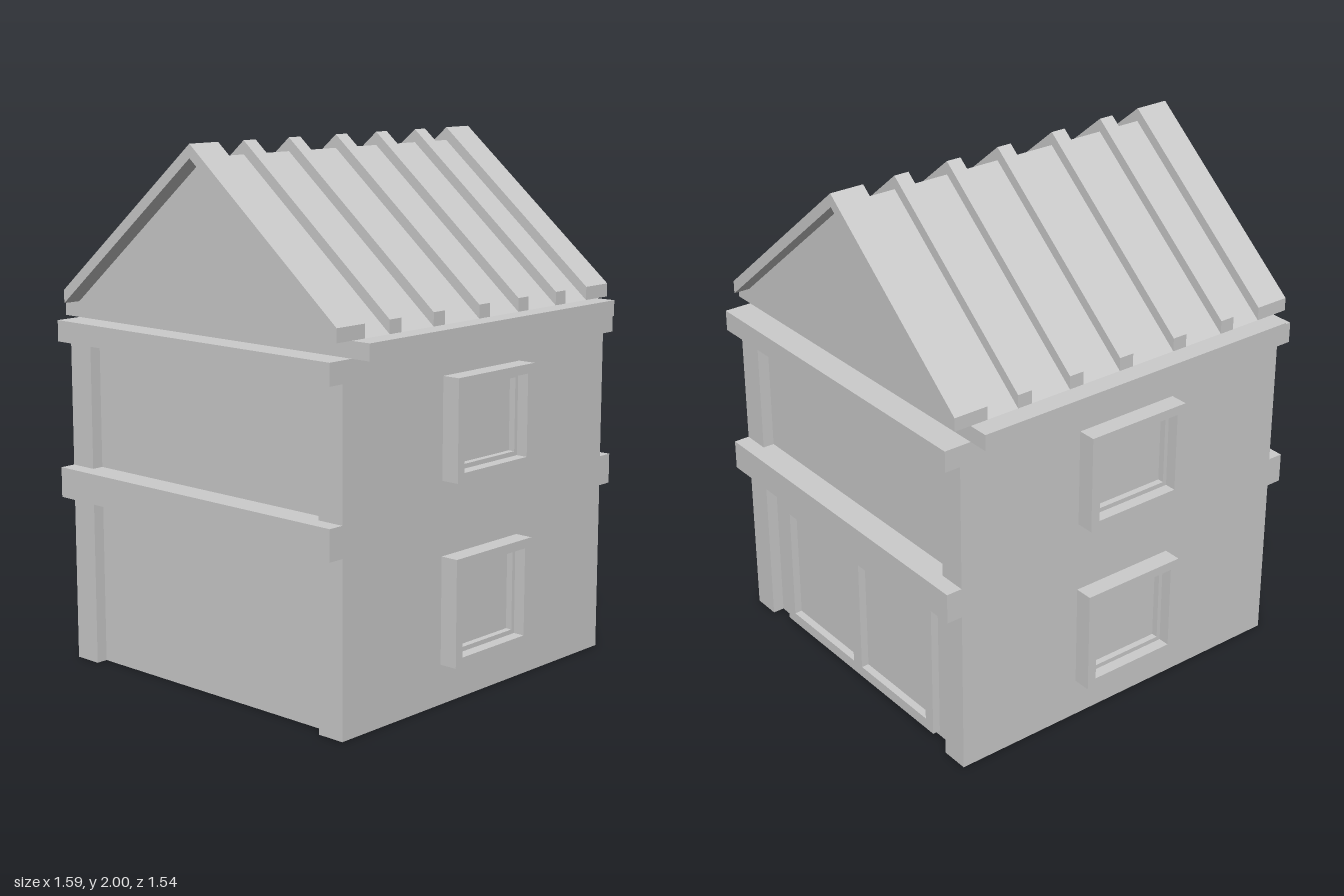
import * as THREE from 'three';

const material = new THREE.MeshStandardMaterial({ color: 0xcccccc, flatShading: true });

function add(parent, name, geometry) {
  const mesh = new THREE.Mesh(geometry, material);
  mesh.name = name;
  parent.add(mesh);
  return mesh;
}

// Box given by its minimum and maximum on each axis
function box(parent, name, x0, x1, y0, y1, z0, z1) {
  const mesh = add(parent, name, new THREE.BoxGeometry(x1 - x0, y1 - y0, z1 - z0));
  mesh.position.set((x0 + x1) / 2, (y0 + y1) / 2, (z0 + z1) / 2);
  return mesh;
}

const rect = (C, x0, x1, y0, y1) => new C([[x0, y0], [x1, y0], [x1, y1], [x0, y1]]
  .map(([x, y]) => new THREE.Vector2(x, y)));

// Flat frame with rectangular openings, facing +z
function frame(parent, name, outer, openings, z0, z1) {
  const shape = rect(THREE.Shape, ...outer);
  openings.forEach((o) => shape.holes.push(rect(THREE.Path, ...o)));
  const mesh = add(parent, name,
    new THREE.ExtrudeGeometry(shape, { depth: z1 - z0, bevelEnabled: false }));
  mesh.position.z = z0;
  return mesh;
}

// Outline in (z, y) extruded along x from x0 to x1
function roofPart(parent, name, points, x0, x1) {
  const shape = new THREE.Shape(points.map(([z, y]) => new THREE.Vector2(z, y)));
  const geometry = new THREE.ExtrudeGeometry(shape, { depth: x1 - x0, bevelEnabled: false });
  geometry.rotateY(Math.PI / 2).translate(x0, 0, 0);
  return add(parent, name, geometry);
}

export function createModel() {
  const house = new THREE.Group();
  house.name = 'house';

  // Main block, with corner posts standing proud of the side walls
  box(house, 'walls', -0.69, 0.69, 0, 1.32, -0.69, 0.69);
  for (const sx of [-1, 1]) {
    for (const sz of [-1, 1]) {
      const post = box(house, 'cornerPost', 0.69, 0.735, 0, 1.24, 0.58, 0.69);
      post.position.x *= sx;
      post.position.z *= sz;
    }
    // Horizontal bands on the side walls
    for (const [y0, y1] of [[0.645, 0.76], [1.24, 1.32]]) {
      const band = box(house, 'sideBand', 0.69, 0.797, y0, y1, -0.69, 0.69);
      band.position.x *= sx;
    }
  }

  // Windows on the front and back
  for (const turn of [0, Math.PI]) {
    const wall = new THREE.Group();
    wall.name = turn ? 'backWindows' : 'frontWindows';
    wall.rotation.y = turn;
    for (const [y0, y1] of [[0.15, 0.55], [0.825, 1.2]]) {
      const opening = [-0.178, 0.178, y0 + 0.033, y1 - 0.035];
      const pane = [-0.162, 0.162, y0 + 0.05, y1 - 0.052];
      frame(wall, 'windowFrame', [-0.215, 0.215, y0, y1], [opening], 0.69, 0.76);
      frame(wall, 'windowSash', opening, [pane], 0.69, 0.715);
    }
    house.add(wall);
  }

  // Double door on the left wall
  const door = new THREE.Group();
  door.name = 'door';
  door.rotation.y = Math.PI / 2;
  frame(door, 'doorFrame', [-0.485, 0.485, 0.02, 0.565],
    [[-0.44, -0.027, 0.063, 0.52], [0.027, 0.44, 0.063, 0.52]], 0.69, 0.72);
  house.add(door);

  // Eaves slab and gabled roof
  box(house, 'eavesSlab', -0.69, 0.69, 1.32, 1.38, -0.77, 0.77);
  roofPart(house, 'roof', [[-0.69, 1.38], [0.69, 1.38], [0, 1.95]], -0.69, 0.69);

  // Raised roof ribs, with wide ones overhanging both gables
  const chevron = [[-0.69, 1.38], [0, 1.95], [0.69, 1.38], [0.69, 1.43], [0, 2], [-0.69, 1.43]];
  roofPart(house, 'gableRib', chevron, -0.763, -0.625);
  for (const x of [-0.47, -0.24, 0.01, 0.235, 0.46]) {
    roofPart(house, 'roofRib', chevron, x - 0.03, x + 0.03);
  }
  roofPart(house, 'gableRib', chevron, 0.62, 0.755);

  return house;
}
